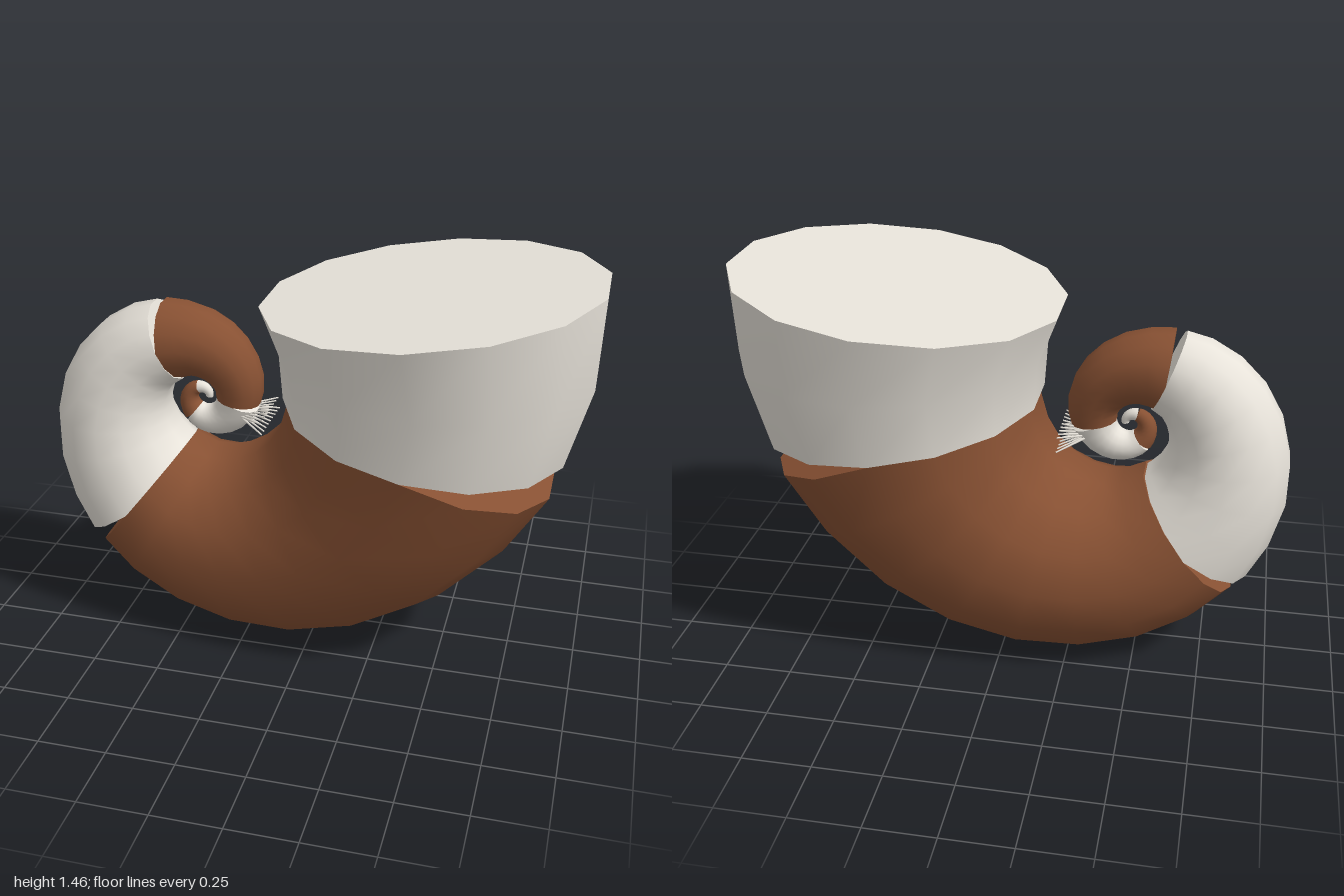
import * as THREE from 'three';

const SIDES = 14, STEP = 15, CENTRE = new THREE.Vector2(-0.447, 0.9);

// Logarithmic spiral: distance from the centre at an angle in degrees
const reach = (deg) => 0.845 * Math.exp(0.00508 * (deg - 360));
const spiral = (deg) => {
  const a = THREE.MathUtils.degToRad(deg);
  return new THREE.Vector2(Math.cos(a), Math.sin(a)).multiplyScalar(reach(deg)).add(CENTRE);
};

// Capped, growing tube that follows the spiral between two angles
function chamberGeometry(from, to) {
  const pos = [], index = [];
  const ring = (deg) => {
    const c = spiral(deg), r = 0.62 * reach(deg);
    // End rings take the direction of their only neighbouring step
    const t = spiral(Math.min(deg + STEP, to)).sub(spiral(Math.max(deg - STEP, from))).normalize();
    const start = pos.length / 3;
    for (let j = 0; j < SIDES; j++) {
      const a = ((j + 0.5) / SIDES) * Math.PI * 2, u = r * Math.cos(a);
      pos.push(c.x + t.y * u, c.y - t.x * u, r * Math.sin(a));
    }
    return start;
  };
  const cap = (deg, flip) => {
    const s = ring(deg), c = spiral(deg), m = pos.length / 3;
    pos.push(c.x, c.y, 0);
    for (let j = 0; j < SIDES; j++) {
      const k = (j + 1) % SIDES;
      index.push(m, s + (flip ? k : j), s + (flip ? j : k));
    }
  };

  let last = -1;
  for (let deg = from; deg <= to; deg += STEP) {
    const s = ring(deg);
    if (last >= 0) {
      for (let j = 0; j < SIDES; j++) {
        const k = (j + 1) % SIDES;
        index.push(last + j, s + j, last + k, s + j, s + k, last + k);
      }
    }
    last = s;
  }
  cap(from, false);
  cap(to, true);

  const g = new THREE.BufferGeometry();
  g.setAttribute('position', new THREE.Float32BufferAttribute(pos, 3));
  g.setIndex(index);
  g.computeVertexNormals();
  return g;
}

// Thin rod between two points
function rod(a, b, radius, material) {
  const d = b.clone().sub(a);
  const mesh = new THREE.Mesh(new THREE.CylinderGeometry(radius * 0.6, radius, d.length(), 6), material);
  mesh.position.copy(a).add(b).multiplyScalar(0.5);
  mesh.quaternion.setFromUnitVectors(new THREE.Vector3(0, 1, 0), d.normalize());
  return mesh;
}

export function createModel() {
  const model = new THREE.Group();
  model.name = 'spiralShell';
  const brown = new THREE.MeshStandardMaterial({ color: 0x885133 });
  brown.name = 'shellBrown';
  const cream = new THREE.MeshStandardMaterial({ color: 0xeee9e0 });
  cream.name = 'shellCream';

  // Alternating bands, each a third of a turn
  for (let i = 0; i < 6; i++) {
    const from = -360 + i * 120;
    const band = new THREE.Mesh(chamberGeometry(from, from + 120), i % 2 ? brown : cream);
    band.name = `shellBand${i + 1}`;
    model.add(band);
  }

  // Short closed mouth at the wide end
  const mouth = new THREE.Mesh(chamberGeometry(360, 390), cream);
  mouth.name = 'shellMouth';
  model.add(mouth);

  // Fan of fine tentacles beside the inner whorl
  const tentacles = new THREE.Group();
  tentacles.name = 'tentacles';
  const count = 18;
  for (let i = 0; i < count; i++) {
    const s = (i / (count - 1)) * 2 - 1;
    const tentacle = rod(
      new THREE.Vector3(-0.3, 0.858, s * 0.05),
      new THREE.Vector3(-0.19, i % 2 ? 0.87 : 0.82, s * 0.13),
      0.005, cream);
    tentacle.name = `tentacle${i + 1}`;
    tentacles.add(tentacle);
  }
  model.add(tentacles);
  return model;
}
